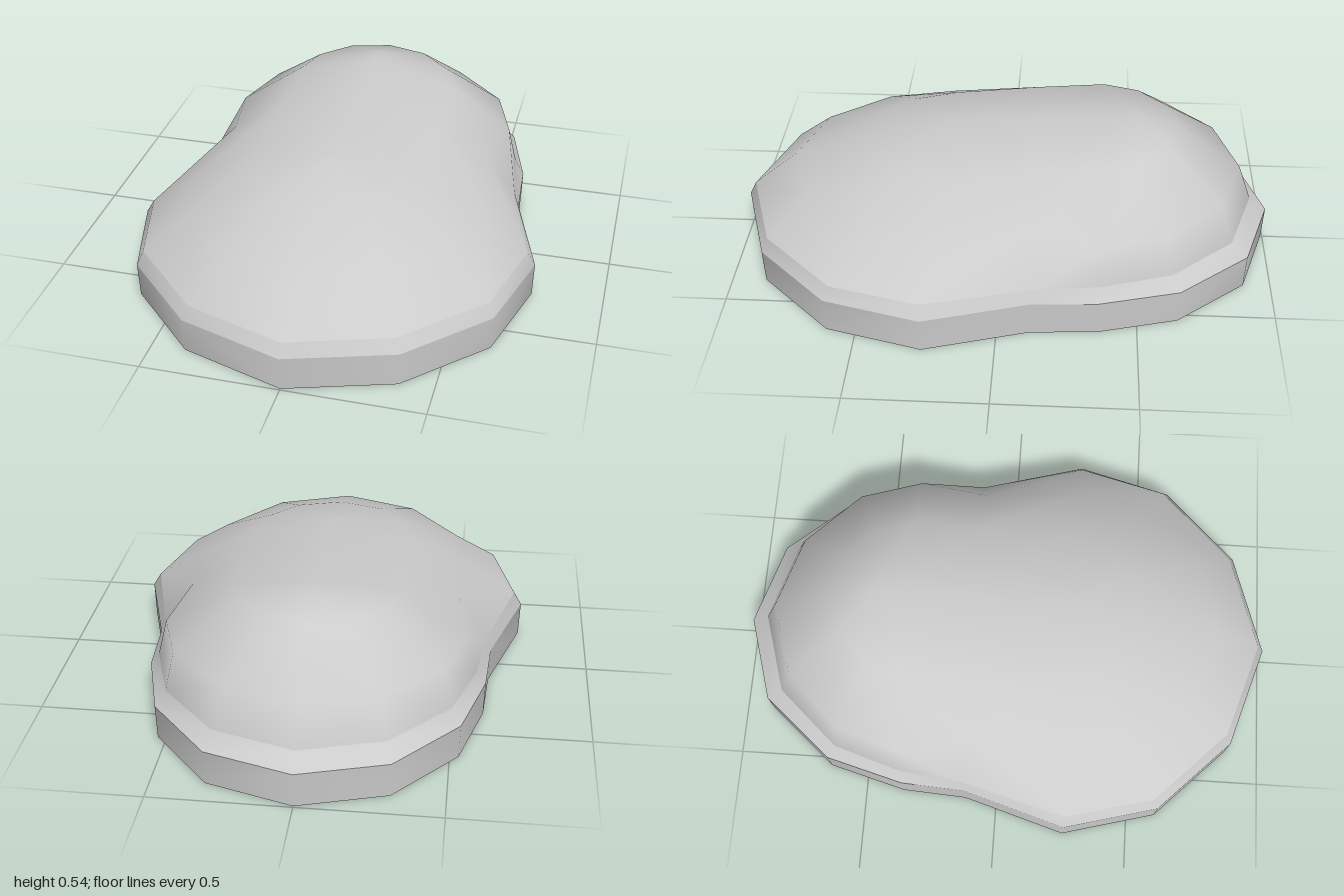
import * as THREE from 'three';
import { mergeVertices } from 'three/addons/utils/BufferGeometryUtils.js';

const material = new THREE.MeshStandardMaterial({ color: 0xcccccc });

// Half rings run from the front (+z) along the left side (+x) to the back.
const edge = [[0, 1], [0.38, 0.88], [0.65, 0.61], [0.745, 0.26], [0.63, -0.12],
  [0.615, -0.36], [0.535, -0.65], [0.315, -0.905], [0, -1]];
const rimLine = [[0, 0.975], [0.36, 0.86], [0.63, 0.59], [0.715, 0.26], [0.61, -0.13],
  [0.58, -0.37], [0.5, -0.62], [0.295, -0.845], [0, -0.935]];
const atHeight = (line, y, s = 1) => line.map(([x, z]) => [x * s, y, z * s]);

const foot = atHeight(edge, 0, 0.994);
const lip = atHeight(edge, 0.13);
const rim = atHeight(rimLine, 0.18);
const shoulder = [[0, 0.325, 0.8], [0.28, 0.315, 0.72], [0.48, 0.3, 0.5], [0.55, 0.295, 0.24],
  [0.5, 0.335, -0.1], [0.545, 0.32, -0.37], [0.47, 0.325, -0.6], [0.27, 0.325, -0.8], [0, 0.32, -0.885]];
const crown = [[0, 0.43, 0.5], [0.17, 0.425, 0.46], [0.27, 0.42, 0.36], [0.31, 0.43, 0.2],
  [0.3, 0.47, -0.12], [0.3, 0.49, -0.37], [0.26, 0.49, -0.5], [0.15, 0.495, -0.6], [0, 0.495, -0.64]];
// The top ring closes onto the centre line
const spine = [[0.27, 0.485], [0.27, 0.485], [0.2, 0.492], [0.05, 0.506], [-0.2, 0.525],
  [-0.42, 0.533], [-0.49, 0.535], [-0.49, 0.535], [-0.49, 0.535]].map(([z, y]) => [0, y, z]);

// Mirror a half ring into a closed loop
const close = (half) => [...half, ...half.slice(1, -1).reverse().map(([x, y, z]) => [-x, y, z])];

// Skin a stack of rings, listed from bottom to top, with smooth normals
function loft(name, halves) {
  const rings = halves.map(close);
  const n = rings[0].length;
  const index = [];
  const tri = (a, b, c) => index.push(a, b, c);
  for (let r = 0; r < rings.length - 1; r++) {
    for (let i = 0; i < n; i++) {
      const j = (i + 1) % n;
      const a = r * n + i, b = r * n + j, c = b + n, d = a + n;
      // Diagonals mirror from side to side
      if (i < n / 2) { tri(a, b, c); tri(a, c, d); } else { tri(a, b, d); tri(b, c, d); }
    }
  }
  let geometry = new THREE.BufferGeometry();
  geometry.setAttribute('position', new THREE.Float32BufferAttribute(rings.flat(2), 3));
  geometry.setIndex(index);
  geometry = mergeVertices(geometry, 1e-4);
  geometry.computeVertexNormals();
  const mesh = new THREE.Mesh(geometry, material);
  mesh.name = name;
  return mesh;
}

export function createModel() {
  const group = new THREE.Group();
  group.name = 'roundedMound';
  group.add(loft('baseWall', [foot, lip]));
  group.add(loft('baseBevel', [lip, rim]));
  group.add(loft('dome', [rim, shoulder, crown, spine]));

  // Flat underside; the shape's y becomes z
  const outline = new THREE.Shape(close(foot).map(([x, , z]) => new THREE.Vector2(x, z)));
  const underside = new THREE.Mesh(new THREE.ShapeGeometry(outline).rotateX(Math.PI / 2), material);
  underside.name = 'underside';
  group.add(underside);
  return group;
}
